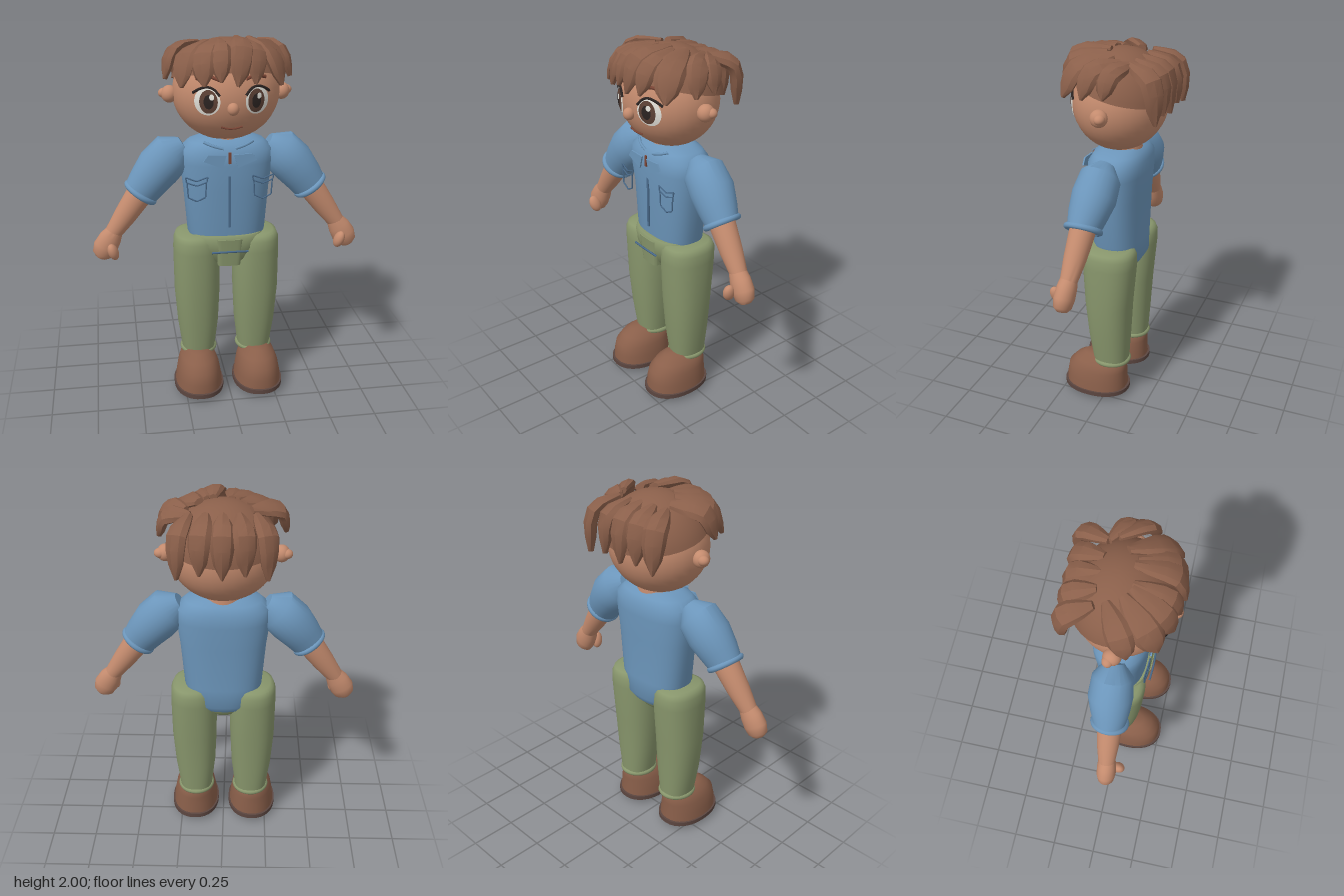
import * as THREE from 'three';
import { toCreasedNormals } from 'three/addons/utils/BufferGeometryUtils.js';

const paint = (name, color, side = THREE.FrontSide) => {
  const m = new THREE.MeshStandardMaterial({ color, side });
  m.name = name;
  return m;
};

// Closed loft through rings [x, y, z, halfWidth, halfDepth]; level keeps rings horizontal.
function loft(rings, { n = 24, power = 2, ref = [0, 0, 1], level = false, crease = 0.8 } = {}) {
  const pos = [], idx = [], last = rings.length - 1;
  const c = rings.map(r => new THREE.Vector3(r[0], r[1], r[2]));
  const bend = a => Math.sign(a) * Math.abs(a) ** (2 / power);
  rings.forEach((r, i) => {
    const t = level ? new THREE.Vector3(0, 1, 0)
      : c[Math.min(i + 1, last)].clone().sub(c[Math.max(i - 1, 0)]).normalize();
    const v = new THREE.Vector3(...ref);
    v.addScaledVector(t, -v.dot(t)).normalize();
    const u = t.clone().cross(v);
    for (let j = 0; j < n; j++) {
      const a = j / n * Math.PI * 2;
      const p = c[i].clone().addScaledVector(u, r[3] * bend(Math.cos(a))).addScaledVector(v, r[4] * bend(Math.sin(a)));
      pos.push(p.x, p.y, p.z);
    }
  });
  for (let i = 0; i < last; i++) for (let j = 0; j < n; j++) {
    const k = (j + 1) % n, a = i * n + j, b = i * n + k;
    idx.push(a, a + n, b, a + n, b + n, b);
  }
  const s = pos.length / 3;
  pos.push(...c[0].toArray(), ...c[last].toArray());
  for (let j = 0; j < n; j++) {
    const k = (j + 1) % n;
    idx.push(s, j, k, s + 1, last * n + k, last * n + j);
  }
  const g = new THREE.BufferGeometry();
  g.setAttribute('position', new THREE.Float32BufferAttribute(pos, 3));
  g.setIndex(idx);
  return toCreasedNormals(g, crease);
}

// Depth of the face surface at x, y
const faceZ = (x, y, lift = 0) =>
  -0.01 + lift + 0.245 * Math.sqrt(Math.max(0, 1 - (x / 0.28) ** 2 - ((y - 1.71) / 0.255) ** 2));

// Oval that follows the face
function faceOval(x, y, rx, ry, lift) {
  const g = new THREE.RingGeometry(0, 1, 28, 5), p = g.attributes.position;
  for (let i = 0; i < p.count; i++) {
    const px = x + p.getX(i) * rx, py = y + p.getY(i) * ry;
    p.setXYZ(i, px, py, faceZ(px, py, lift));
  }
  g.computeVertexNormals();
  return g;
}

const tube = (pts, r, seg = 16) => new THREE.TubeGeometry(
  new THREE.CatmullRomCurve3(pts.map(p => new THREE.Vector3(...p))), seg, r, 6);
const faceStroke = (pts, r) => tube(pts.map(([x, y]) => [x, y, faceZ(x, y, 0.006)]), r);

// Flat tapering lock of hair bent through root, middle and tip
function lock(root, mid, tip, width, thick) {
  const curve = new THREE.CatmullRomCurve3([root, mid, tip].map(p => new THREE.Vector3(...p)));
  const taper = [0.35, 0.7, 0.95, 1, 0.95, 0.72, 0.12];
  const rings = taper.map((w, i) => [...curve.getPoint(i / 6).toArray(), width * w, thick * (0.3 + 0.7 * w)]);
  return loft(rings, { n: 8, ref: [mid[0], mid[1] - 1.71, mid[2]], crease: 0.5 });
}

export function createModel() {
  const model = new THREE.Group();
  model.name = 'standingBoy';
  const skin = paint('skin', 0xc48b6e), hair = paint('brownHairAndLeather', 0x8a5f4a, THREE.DoubleSide);
  const shirt = paint('blueShirt', 0x6c96bb), seam = paint('seamBlue', 0x4a6b8c);
  const pants = paint('greenTrousers', 0x88966c), sole = paint('soleBrown', 0x5c4640);
  const white = paint('eyeWhite', 0xe4e2da), iris = paint('iris', 0x5e4236), dark = paint('dark', 0x2c2422);
  const lip = paint('lipBrown', 0x7c4636);

  const add = (name, geo, mat, pos = [0, 0, 0], scale = [1, 1, 1], rot = [0, 0, 0]) => {
    const m = new THREE.Mesh(geo, mat);
    m.name = name;
    m.position.set(...pos);
    m.scale.set(...scale);
    m.rotation.set(...rot);
    model.add(m);
    return m;
  };
  const ball = new THREE.SphereGeometry(1, 32, 24);

  // Head, nose and neck
  add('head', ball, skin, [0, 1.71, -0.01], [0.28, 0.255, 0.245]);
  add('nose', ball, skin, [0, 1.665, 0.24], [0.03, 0.032, 0.03]);
  add('neck', new THREE.CylinderGeometry(0.1, 0.11, 0.1, 24), skin, [0, 1.46, -0.02]);
  add('mouth', faceStroke([[-0.055, 1.565], [-0.025, 1.556], [0, 1.554], [0.025, 1.556], [0.055, 1.565]], 0.005), lip);

  // Hair cap, lower at the back than over the forehead
  const cap = new THREE.SphereGeometry(1, 40, 16, 0, Math.PI * 2, 0, 1), cp = cap.attributes.position;
  for (let i = 0; i < cp.count; i++) {
    const a = Math.atan2(cp.getX(i), cp.getZ(i));
    const th = Math.acos(Math.min(1, cp.getY(i))) * (1.3 - 0.22 * Math.cos(a));
    cp.setXYZ(i, 0.292 * Math.sin(th) * Math.sin(a), 1.71 + 0.272 * Math.cos(th), -0.015 + 0.262 * Math.sin(th) * Math.cos(a));
  }
  add('hairCap', toCreasedNormals(cap, 1), hair);

  // Fringe and side locks
  [
    [[0.05, 1.98, 0.02], [0.05, 1.95, 0.215], [0.02, 1.78, 0.265], 0.06],
    [[0.08, 1.97, 0.03], [0.12, 1.93, 0.2], [0.11, 1.79, 0.25], 0.058],
    [[-0.04, 1.97, 0.03], [-0.06, 1.93, 0.21], [-0.06, 1.8, 0.255], 0.055],
    [[-0.06, 1.97, 0.03], [-0.14, 1.92, 0.19], [-0.14, 1.78, 0.24], 0.068],
    [[-0.1, 1.96, 0], [-0.22, 1.91, 0.13], [-0.25, 1.77, 0.19], 0.075],
    [[-0.14, 1.95, -0.07], [-0.28, 1.92, 0.02], [-0.32, 1.79, 0.06], 0.065],
    [[0.12, 1.97, -0.02], [0.21, 1.91, 0.14], [0.25, 1.77, 0.2], 0.075],
    [[0.18, 1.95, -0.08], [0.28, 1.92, 0.03], [0.32, 1.79, 0.07], 0.06],
    [[0.16, 1.94, -0.12], [0.28, 1.91, -0.06], [0.32, 1.8, -0.04], 0.055],
  ].forEach(([a, b, c, w]) => add('fringeLock', lock(a, b, c, w, 0.03), hair));
  // Locks hanging at the back
  for (let i = -2; i <= 2; i++) {
    const x = i * 0.108;
    add('backLock', lock([x * 0.75, 1.94, -0.12], [x, 1.88, -0.255 + Math.abs(i) * 0.004],
      [x * 1.02, 1.67 + (i % 2) * i * 0.02, -0.272], 0.06, 0.036), hair);
  }

  // Shirt body
  add('shirtBody', loft([
    [0, 0.8, -0.04, 0.12, 0.085], [0, 0.84, -0.025, 0.18, 0.125], [0, 0.95, -0.015, 0.212, 0.133],
    [0, 1.2, -0.015, 0.232, 0.14], [0, 1.34, -0.012, 0.25, 0.152], [0, 1.41, -0.014, 0.245, 0.148],
    [0, 1.45, -0.015, 0.2, 0.125], [0, 1.475, -0.015, 0.13, 0.09],
  ], { n: 40, power: 2.5, level: true }), shirt);
  add('frontSeam', new THREE.BoxGeometry(0.014, 0.31, 0.008), seam, [0, 1.155, 0.13]);
  add('openNeck', new THREE.BoxGeometry(0.014, 0.06, 0.008), lip, [0, 1.385, 0.142]);

  // Trouser seat, fly and tie
  add('trouserSeat', loft([
    [0, 0.75, 0, 0.07, 0.08], [0, 0.8, 0, 0.13, 0.12], [0, 0.87, 0.012, 0.19, 0.13],
    [0, 0.93, 0.012, 0.2, 0.132], [0, 0.945, 0.012, 0.19, 0.122],
  ], { n: 40, power: 2.5, level: true }), pants);
  add('fly', loft([[0, 0.775, 0.09, 0.062, 0.045], [0, 0.93, 0.1, 0.075, 0.05]], { power: 5, level: true }), pants);
  add('waistTie', tube([[-0.1, 0.862, 0.15], [0, 0.865, 0.155], [0.1, 0.862, 0.15]], 0.006), seam);

  for (const s of [-1, 1]) {
    // Eyes, lashes and brows
    const ex = s * 0.125;
    add('eyeWhite', faceOval(ex, 1.7, 0.062, 0.07, 0.005), white);
    add('iris', faceOval(s * 0.12, 1.7, 0.044, 0.06, 0.008), iris);
    add('pupil', faceOval(s * 0.12, 1.7, 0.024, 0.036, 0.011), dark);
    add('eyeGlint', faceOval(s * 0.12 + 0.014, 1.725, 0.012, 0.015, 0.014), white);
    add('lash', faceStroke([[ex - s * 0.06, 1.73], [ex - s * 0.03, 1.763], [ex, 1.772],
      [ex + s * 0.035, 1.762], [ex + s * 0.068, 1.74]], 0.007), dark);
    add('brow', faceStroke([[s * 0.065, 1.806], [s * 0.12, 1.822], [s * 0.175, 1.808]], 0.009), lip);

    // Ears
    add('ear', ball, skin, [s * 0.295, 1.7, -0.01], [0.042, 0.045, 0.045]);
    add('earTip', ball, skin, [s * 0.32, 1.703, -0.025], [0.032, 0.026, 0.028]);

    // Collar flaps and pocket outlines
    const flap = new THREE.Shape([[0.02, 1.405], [0.115, 1.41], [0.14, 1.375], [0.04, 1.335]]
      .map(([x, y]) => new THREE.Vector2(s * x, y)));
    add('collarFlap', new THREE.ExtrudeGeometry(flap, { depth: 0.008, bevelEnabled: false }), shirt, [0, 0, 0.146]);
    add('collarEdge', tube([[s * 0.03, 1.43, 0.12], [s * 0.09, 1.447, 0.11], [s * 0.13, 1.462, 0.09]], 0.008), shirt);
    const line = (name, pts) => {
      const path = new THREE.CurvePath();
      const v = pts.map(([x, y]) => new THREE.Vector3(s * x, y, 0.155 - x * 0.08));
      for (let i = 1; i < v.length; i++) path.add(new THREE.LineCurve3(v[i - 1], v[i]));
      add(name, new THREE.TubeGeometry(path, 40, 0.004, 5), seam);
    };
    line('pocketOutline', [[0.125, 1.265], [0.13, 1.18], [0.175, 1.158], [0.22, 1.18], [0.225, 1.265]]);
    line('pocketFlap', [[0.118, 1.29], [0.122, 1.262], [0.175, 1.243], [0.228, 1.262], [0.232, 1.29], [0.175, 1.268], [0.118, 1.29]]);

    // Sleeve with rolled hem
    add('sleeve', loft([
      [s * 0.225, 1.425, -0.015, 0.05, 0.05], [s * 0.285, 1.385, -0.012, 0.116, 0.105],
      [s * 0.36, 1.31, -0.008, 0.12, 0.115], [s * 0.42, 1.235, 0.002, 0.106, 0.1], [s * 0.466, 1.172, 0.008, 0.093, 0.082],
    ]), shirt);
    add('sleeveHem', new THREE.TorusGeometry(0.085, 0.016, 10, 28), shirt, [s * 0.462, 1.178, 0.008],
      [1, 1, 1], [Math.PI / 2, s * 0.64, 0, ]).rotation.order = 'ZYX';
    model.children.at(-1).rotation.set(Math.PI / 2, 0, s * 0.64);

    // Forearm, hand and thumb
    add('forearm', loft([
      [s * 0.42, 1.24, 0.008, 0.07, 0.065], [s * 0.475, 1.16, 0.01, 0.07, 0.066],
      [s * 0.55, 1.055, 0.016, 0.06, 0.058], [s * 0.615, 0.965, 0.022, 0.046, 0.045], [s * 0.64, 0.93, 0.025, 0.04, 0.04],
    ]), skin);
    add('hand', loft([
      [s * 0.602, 0.98, 0.022, 0.042, 0.042], [s * 0.632, 0.935, 0.025, 0.06, 0.05], [s * 0.662, 0.885, 0.028, 0.066, 0.052],
      [s * 0.68, 0.845, 0.03, 0.055, 0.045], [s * 0.688, 0.826, 0.03, 0.03, 0.028],
    ]), skin);
    add('thumb', ball, skin, [s * 0.622, 0.875, 0.085], [0.028, 0.05, 0.034], [0.3, 0, -s * 0.3]);

    // Trouser leg and hem
    add('trouserLeg', loft([
      [s * 0.16, 0.21, -0.015, 0.09, 0.098], [s * 0.162, 0.4, -0.008, 0.114, 0.116], [s * 0.165, 0.6, -0.005, 0.126, 0.13],
      [s * 0.165, 0.84, -0.01, 0.128, 0.147], [s * 0.168, 0.9, -0.01, 0.122, 0.147], [s * 0.17, 0.93, -0.01, 0.108, 0.134],
      [s * 0.17, 0.938, -0.01, 0.09, 0.115],
    ], { n: 32, power: 2.3, level: true }), pants);
    add('trouserHem', new THREE.TorusGeometry(0.09, 0.015, 10, 32), pants, [s * 0.16, 0.222, -0.015], [1, 1.06, 1], [Math.PI / 2, 0, 0]);

    // Shoe, sole and heel
    add('shoe', loft([
      [s * 0.17, 0.045, 0.07, 0.132, 0.18], [s * 0.17, 0.1, 0.07, 0.126, 0.178], [s * 0.17, 0.16, 0.065, 0.115, 0.172],
      [s * 0.17, 0.205, 0.045, 0.096, 0.152], [s * 0.17, 0.24, 0.03, 0.055, 0.115],
    ], { n: 32, power: 2.2, level: true }), hair);
    add('sole', loft([[s * 0.17, 0.027, 0.07, 0.14, 0.192], [s * 0.17, 0.052, 0.07, 0.14, 0.192]],
      { n: 32, power: 2.2, level: true }), sole);
    add('heel', ball, hair, [s * 0.17, 0.025, -0.075], [0.06, 0.025, 0.035]);
  }
  return model;
}
